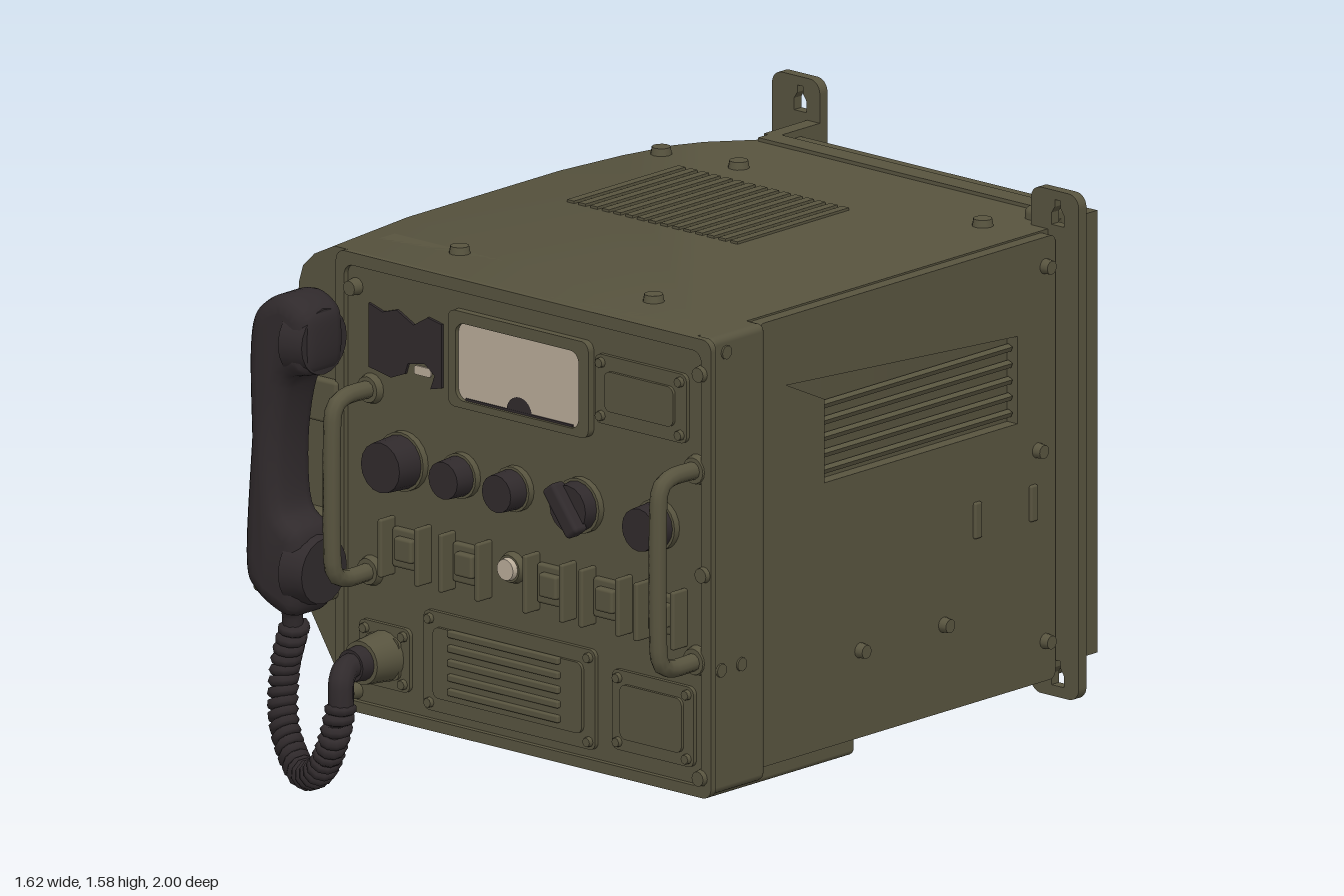
import * as THREE from 'three';
import { toCreasedNormals } from 'three/addons/utils/BufferGeometryUtils.js';
import { RoundedBoxGeometry } from 'three/addons/geometries/RoundedBoxGeometry.js';

export function createModel() {
  const root = new THREE.Group();
  const material = (name, color) => {
    const m = new THREE.MeshStandardMaterial({ color });
    m.name = name;
    return m;
  };
  const olive = material('olive paint', 0x58543f);
  const black = material('black rubber', 0x302a2c);
  const cream = material('cream glass', 0xb9ac99);

  const add = (name, geo, mat = olive, x = 0, y = 0, z = 0) => {
    const m = new THREE.Mesh(geo, mat);
    m.name = name;
    m.position.set(x, y, z);
    root.add(m);
    return m;
  };
  // box given by its extents
  const box = (name, x0, x1, y0, y1, z0, z1, mat = olive, r = 0) => add(name,
    r ? new RoundedBoxGeometry(x1 - x0, y1 - y0, z1 - z0, 2, r) : new THREE.BoxGeometry(x1 - x0, y1 - y0, z1 - z0),
    mat, (x0 + x1) / 2, (y0 + y1) / 2, (z0 + z1) / 2);
  const roundRect = (x0, x1, y0, y1, r, Type = THREE.Shape) => {
    const s = new Type();
    const h = Math.PI / 2;
    s.absarc(x1 - r, y1 - r, r, 0, h).absarc(x0 + r, y1 - r, r, h, 2 * h);
    s.absarc(x0 + r, y0 + r, r, 2 * h, 3 * h).absarc(x1 - r, y0 + r, r, 3 * h, 4 * h);
    s.closePath();
    return s;
  };
  const poly = (pts, Type = THREE.Shape) => new Type(pts.map(p => new THREE.Vector2(...p)));
  const extrude = (shape, depth, bevel = 0) => new THREE.ExtrudeGeometry(shape,
    { depth, bevelEnabled: bevel > 0, bevelSize: bevel, bevelThickness: bevel, bevelOffset: -bevel, bevelSegments: 3, curveSegments: 5 });
  const plate = (name, x0, x1, y0, y1, z, depth, r = 0.02, mat = olive) =>
    add(name, extrude(roundRect(x0, x1, y0, y1, r), depth), mat, 0, 0, z);
  // cylinder standing out along an axis, base at the given point
  const stud = (name, x, y, z, r, h, axis = 'z', mat = olive, sides = 12, top = 0.85) => {
    const geo = new THREE.CylinderGeometry(r * top, r, Math.abs(h), sides).translate(0, Math.abs(h) / 2, 0);
    if (axis === 'z') geo.rotateX(Math.sign(h) * Math.PI / 2);
    else if (axis === 'x') geo.rotateZ(-Math.sign(h) * Math.PI / 2);
    else if (h < 0) geo.rotateX(Math.PI);
    return add(name, geo, mat, x, y, z);
  };
  const tube = (name, pts, r, mat = olive, segs = 32, sides = 10) => add(name, new THREE.TubeGeometry(
    new THREE.CatmullRomCurve3(pts.map(p => new THREE.Vector3(...p)), false, 'catmullrom', 0.3), segs, r, sides), mat);

  // cabinet: plan outlines stacked upwards, with a bulging left wall
  const levels = [[0.23, -0.56], [0.27, -0.6], [0.46, -0.72], [0.5, -0.745], [0.6, -0.76], [1.34, -0.755], [1.39, -0.74], [1.43, -0.7], [1.465, -0.63]];
  const rings = levels.map(([y, L]) => [
    [0.7, 0.735], [0.7, -0.65], [0.64, -0.8], [Math.max(L + 0.24, -0.5), -0.83],
    [L + 0.1, -0.66], [L + 0.06, -0.58], [L + 0.025, -0.42], [L, -0.2], [L, 0.4], [L + 0.04, 0.735],
  ].map(([x, z]) => new THREE.Vector3(x, y, z)));
  const pos = [];
  const tri = (...vs) => vs.forEach(v => pos.push(v.x, v.y, v.z));
  const n = rings[0].length, topRing = rings.at(-1);
  for (let i = 0; i < rings.length - 1; i++) for (let j = 0; j < n; j++) {
    const k = (j + 1) % n, a = rings[i], b = rings[i + 1];
    tri(a[j], a[k], b[k]);
    tri(a[j], b[k], b[j]);
  }
  for (let j = 1; j < n - 1; j++) {
    tri(topRing[0], topRing[j], topRing[j + 1]);
    tri(rings[0][0], rings[0][j + 1], rings[0][j]);
  }
  const cabinetGeo = new THREE.BufferGeometry();
  cabinetGeo.setAttribute('position', new THREE.Float32BufferAttribute(pos, 3));
  add('cabinet', toCreasedNormals(cabinetGeo, 0.5));
  box('rearBox', -0.43, 0.655, 0.24, 1.455, -0.895, -0.6);
  box('rearCornerStrip', 0.58, 0.66, 0.21, 1.5, -0.8, -0.68, olive, 0.02);
  box('rearTopLip', -0.43, 0.64, 1.45, 1.475, -0.82, -0.76);
  box('frontCollar', -0.57, 0.755, 0.21, 1.465, 0.52, 0.735, olive, 0.02);
  box('bottomPlate', -0.53, 0.73, 0.195, 0.25, 0.14, 0.73, olive, 0.015);

  // right wall with a louvred recess (drawn in -z, y and turned to face +x)
  const wall = roundRect(-0.53, 0.64, 0.24, 1.46, 0.02);
  wall.holes.push(poly([[-0.42, 1.27], [0.49, 1.21], [0.49, 0.97], [-0.27, 0.97], [-0.27, 1.2]], THREE.Path));
  add('rightWall', extrude(wall, 0.036).rotateY(Math.PI / 2), olive, 0.7, 0, 0);
  for (let i = 0; i < 5; i++)
    box('sideLouvre', 0.705, 0.722, 0.99 + i * 0.045, 1.004 + i * 0.045, -0.485, 0.265).rotation.z = -0.4;

  // top vent slats and lid bolts
  for (let i = 0; i < 15; i++)
    box('topSlat', -0.415 + i * 0.0415, -0.39 + i * 0.0415, 1.46, 1.472, -0.43, 0.01);
  for (const [x, z] of [[-0.3, -0.54], [0.55, -0.56], [-0.3, 0.56], [0.39, 0.56], [-0.54, -0.5]])
    stud('topBolt', x, 1.46, z, 0.03, 0.025, 'y');
  for (const [x, z] of [[-0.3, 0.54], [0.64, 0.54], [-0.3, 0.36], [0.64, 0.36], [-0.3, -0.5], [0.55, -0.5]])
    stud('foot', x, 0.235, z, 0.035, -0.055, 'y');
  for (const [z, y] of [[0.62, 0.55], [0.7, 0.55], [0.13, 0.48], [-0.2, 0.48], [0.68, 1.42], [-0.57, 0.88], [-0.6, 1.38], [-0.6, 0.35]])
    stud('sideBolt', 0.73, y, z, 0.022, 0.03, 'x');
  for (const z of [-0.33, -0.55])
    box('keyPlate', 0.73, 0.745, 0.69, 0.79, z - 0.014, z + 0.014, olive, 0.006);

  // wall brackets with keyholes at both ends
  const bracket = (name, x0, x1, y0, y1, z, cx) => {
    const s = roundRect(x0, x1, y0, y1, 0.035);
    for (const y of [y0 + 0.05, y1 - 0.075]) {
      s.holes.push(poly([[-0.022, -0.02], [0.022, -0.02], [0.022, 0.012], [0.01, 0.03], [0.01, 0.05], [-0.01, 0.05],
        [-0.01, 0.03], [-0.022, 0.012]].map(([a, b]) => [cx + a, y + b]), THREE.Path));
    }
    add(name, extrude(s, 0.03), olive, 0, 0, z);
  };
  bracket('rightBracket', 0.64, 0.81, 0.185, 1.575, -0.68, 0.735);
  bracket('leftBracket', -0.57, -0.4, 0.13, 1.59, -1, -0.47);
  for (const [y0, y1] of [[0.24, 0.45], [1.41, 1.475]])
    box('bracketArm', -0.445, -0.4, y0, y1, -0.98, -0.8);

  // front panel rim
  const rim = roundRect(-0.57, 0.765, 0.205, 1.465, 0.03);
  rim.holes.push(roundRect(-0.54, 0.73, 0.235, 1.43, 0.03, THREE.Path));
  add('frontRim', extrude(rim, 0.02), olive, 0, 0, 0.73);
  for (const [x, y] of [[-0.51, 1.37], [0.73, 1.37], [-0.51, 0.26], [0.73, 0.26], [-0.58, 0.82], [0.74, 0.82]])
    stud('panelBolt', x, y, 0.735, 0.024, 0.03);

  // display window with frame and half-round gauge
  const frame = roundRect(-0.165, 0.335, 1.115, 1.38, 0.025);
  frame.holes.push(roundRect(-0.138, 0.3, 1.135, 1.348, 0.03, THREE.Path));
  add('windowFrame', extrude(frame, 0.022), olive, 0, 0, 0.735);
  plate('windowGlass', -0.14, 0.302, 1.133, 1.35, 0.736, 0.008, 0.03, cream);
  add('gauge', new THREE.CircleGeometry(0.045, 16, 0, Math.PI), black, 0.08, 1.135, 0.747);
  box('gaugeStrip', -0.11, 0.27, 1.134, 1.141, 0.744, 0.748, black);

  // worn dark label
  add('darkLabel', extrude(poly([[-0.46, 1.335], [-0.41, 1.32], [-0.36, 1.335], [-0.3, 1.305], [-0.25, 1.335], [-0.2, 1.325],
    [-0.2, 1.15], [-0.24, 1.14], [-0.225, 1.18], [-0.26, 1.205], [-0.32, 1.195], [-0.33, 1.165], [-0.38, 1.145], [-0.46, 1.16]]), 0.008), black, 0, 0, 0.735);
  plate('labelWear', -0.3, -0.24, 1.17, 1.195, 0.737, 0.004, 0.008, cream);

  // bolted cover plates
  const cover = (name, x0, x1, y0, y1, inset) => {
    plate(name, x0, x1, y0, y1, 0.733, 0.014);
    plate(name + 'Raised', x0 + inset, x1 - inset, y0 + inset, y1 - inset, 0.74, 0.016);
    for (const x of [x0 + 0.022, x1 - 0.022]) for (const y of [y0 + 0.022, y1 - 0.022])
      stud('coverBolt', x, y, 0.745, 0.015, 0.014, 'z', olive, 8);
  };
  cover('upperCover', 0.35, 0.675, 1.165, 1.355, 0.04);
  cover('speakerCover', -0.26, 0.35, 0.26, 0.535, 0.04);
  cover('lowerCover', 0.41, 0.7, 0.28, 0.5, 0.035);
  for (let i = 0; i < 5; i++)
    box('speakerSlat', -0.16, 0.235, 0.318 + i * 0.04, 0.338 + i * 0.04, 0.75, 0.768, olive, 0.005);

  // knobs
  for (const [x, r, h] of [[-0.335, 0.075, 0.1], [-0.13, 0.056, 0.08], [0.06, 0.056, 0.08], [0.295, 0.07, 0.06], [0.57, 0.064, 0.085]]) {
    stud('knobSkirt', x, 0.925, 0.735, r + 0.006, 0.02, 'z', olive, 20, 1);
    stud('knob', x, 0.925, 0.735, r, h, 'z', black, 16, 0.92);
  }
  box('knobPointer', 0.27, 0.32, 0.85, 1.0, 0.78, 0.83, black, 0.012).rotation.z = 0.65;

  // guarded switches and lamp
  for (const x of [-0.315, -0.1, 0.2, 0.4, 0.595]) {
    box('switchBase', x - 0.055, x + 0.055, 0.63, 0.74, 0.73, 0.752, olive, 0.008);
    box('switchLever', x - 0.032, x + 0.032, 0.655, 0.72, 0.745, 0.772, olive, 0.008);
    for (const s of [-0.065, 0.065])
      box('switchGuard', x + s - 0.008, x + s + 0.008, 0.605, 0.765, 0.73, 0.79, olive, 0.006);
  }
  stud('lampCollar', 0.05, 0.705, 0.735, 0.044, 0.02, 'z', olive, 16);
  stud('lamp', 0.05, 0.705, 0.74, 0.034, 0.03, 'z', cream, 16);

  // carrying handles
  for (const [x, y0, y1] of [[-0.455, 0.6, 1.1], [0.705, 0.575, 1.1]]) {
    tube('handle', [[x, y0, 0.73], [x, y0, 0.84], [x, y0 + 0.05, 0.89], [x, y1 - 0.05, 0.89], [x, y1, 0.84], [x, y1, 0.73]], 0.024);
    for (const y of [y0, y1]) stud('handleFoot', x, y, 0.735, 0.042, 0.02, 'z', olive, 16);
  }

  // handset cradle on the left wall
  box('upperClip', -0.81, -0.765, 0.98, 1.1, 0.42, 0.8, olive, 0.01);
  box('clipFace', -0.81, -0.56, 0.98, 1.1, 0.73, 0.76, olive, 0.01);
  box('lowerClip', -0.79, -0.75, 0.5, 0.75, 0.42, 0.84, olive, 0.015);
  box('lowerCup', -0.78, -0.56, 0.5, 0.74, 0.7, 0.78, olive, 0.02);
  for (let i = 0; i < 4; i++)
    box('cradleRib', -0.77, -0.7, 0.76, 1.34, 0.43 + i * 0.07, 0.45 + i * 0.07);
  const rail = box('lowerRail', -0.735, -0.69, 0.4, 0.45, 0, 0.36, olive, 0.01);
  rail.rotation.z = 0.45;
  for (const y of [0.58, 1.3]) stud('leftBolt', -0.72, y, 0.12, 0.025, -0.05, 'x');

  // handset
  const hand = new THREE.Shape();
  hand.moveTo(-0.735, 0.95);
  hand.splineThru([[-0.74, 1.2], [-0.71, 1.31], [-0.62, 1.36], [-0.54, 1.33], [-0.52, 1.27], [-0.53, 1.16], [-0.6, 1.12],
    [-0.635, 0.95], [-0.625, 0.77], [-0.56, 0.71], [-0.55, 0.6], [-0.565, 0.5], [-0.62, 0.48], [-0.72, 0.53], [-0.755, 0.62], [-0.735, 0.95]].map(p => new THREE.Vector2(...p)));
  add('handset', toCreasedNormals(extrude(hand, 0.08, 0.045), 0.7), black, 0, 0, 0.8);
  for (const y of [1.235, 0.605])
    stud('handsetCap', -0.6, y, 0.84, 0.105, 0.07, 'x', black, 20);

  // coiled cord: a helix wound about a hanging curve
  const path = new THREE.CatmullRomCurve3([[-0.68, 0.42, 0.79], [-0.715, 0.29, 0.79], [-0.69, 0.15, 0.82], [-0.58, 0.05, 0.87],
    [-0.47, 0.09, 0.92], [-0.39, 0.2, 0.955], [-0.37, 0.29, 0.95]].map(p => new THREE.Vector3(...p)));
  const turns = 27, steps = turns * 10;
  const frames = path.computeFrenetFrames(steps);
  const coil = [];
  for (let i = 0; i <= steps; i++) {
    const a = i / steps * turns * Math.PI * 2;
    coil.push(path.getPointAt(i / steps).addScaledVector(frames.normals[i], Math.cos(a) * 0.028)
      .addScaledVector(frames.binormals[i], Math.sin(a) * 0.028));
  }
  add('cordCoil', new THREE.TubeGeometry(new THREE.CatmullRomCurve3(coil), steps, 0.016, 6), black);
  add('cordCore', new THREE.TubeGeometry(path, 40, 0.024, 8), black);
  tube('cordTail', [[-0.66, 0.51, 0.83], [-0.68, 0.46, 0.8], [-0.685, 0.4, 0.79]], 0.028, black, 8);
  tube('cordPlugEnd', [[-0.37, 0.28, 0.95], [-0.375, 0.35, 0.945], [-0.395, 0.378, 0.9], [-0.4, 0.378, 0.8]], 0.035, black, 16);

  // cord connector
  cover('connectorPlate', -0.49, -0.31, 0.29, 0.465, 0.03);
  stud('connectorShell', -0.4, 0.378, 0.74, 0.07, 0.1, 'z', olive, 20);
  stud('connectorPlug', -0.4, 0.378, 0.8, 0.052, 0.08, 'z', black, 16);
  return root;
}
